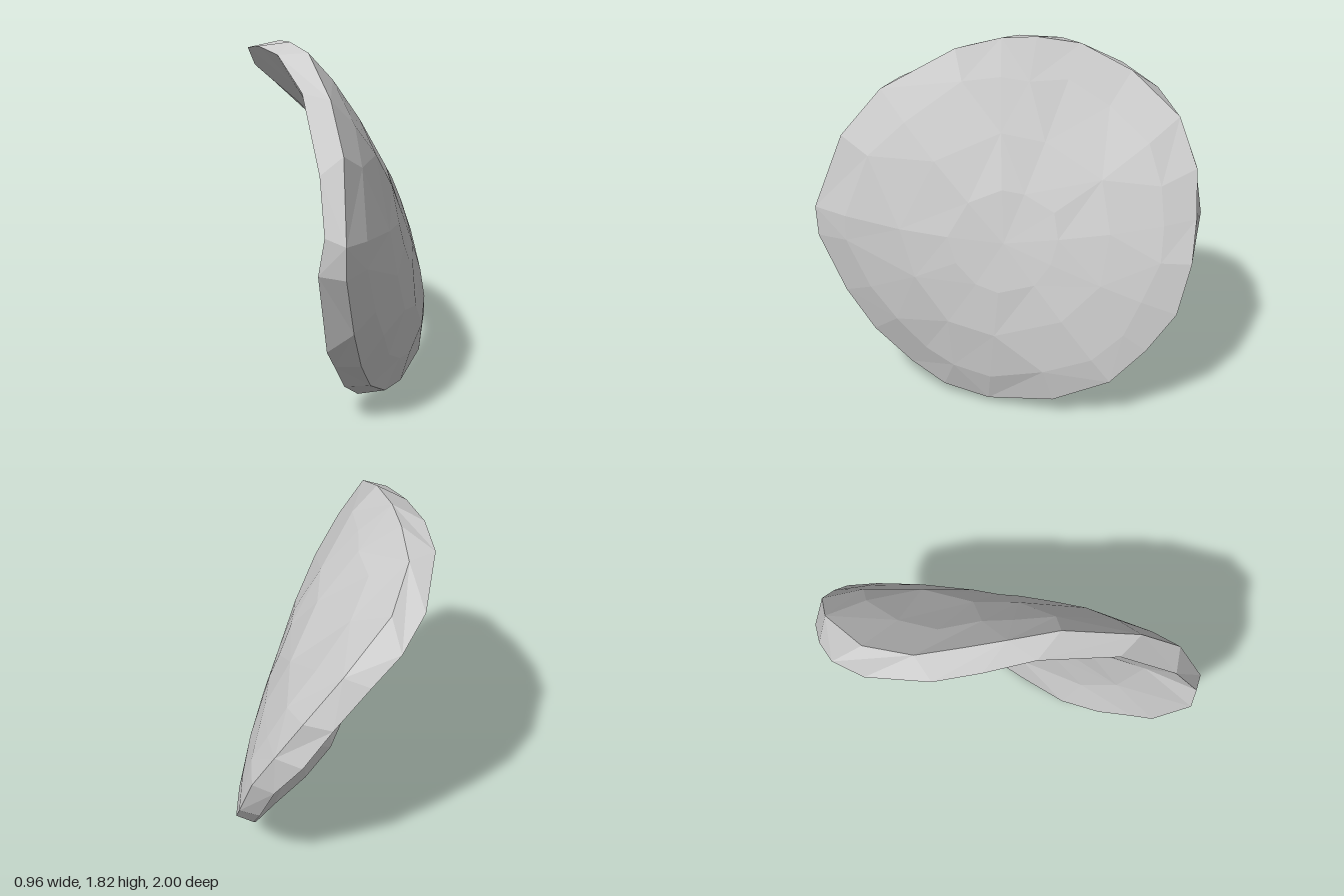
import * as THREE from 'three';

// Rim stations running front, top, back, bottom: outer edge xyz, then inner edge xyz
const RIM = [
  [0.10, 0.99, 1.00, 0.00, 1.03, 0.99],
  [0.08, 1.38, 0.85, -0.03, 1.29, 0.86],
  [0.01, 1.61, 0.65, -0.13, 1.63, 0.57],
  [-0.12, 1.79, 0.28, -0.28, 1.77, 0.20],
  [-0.23, 1.82, 0.05, -0.40, 1.79, -0.03],
  [-0.30, 1.81, -0.13, -0.48, 1.76, -0.25],
  [-0.37, 1.76, -0.36, -0.48, 1.63, -0.58],
  [-0.33, 1.63, -0.63, -0.40, 1.52, -0.77],
  [-0.15, 1.44, -0.88, -0.28, 1.40, -0.88],
  [0.02, 1.22, -0.97, -0.12, 1.20, -0.97],
  [0.16, 1.00, -0.97, 0.02, 0.98, -1.00],
  [0.28, 0.80, -0.95, 0.17, 0.77, -0.96],
  [0.37, 0.56, -0.88, 0.27, 0.53, -0.87],
  [0.43, 0.38, -0.73, 0.34, 0.35, -0.73],
  [0.48, 0.22, -0.55, 0.37, 0.20, -0.57],
  [0.45, 0.09, -0.26, 0.34, 0.06, -0.27],
  [0.35, 0.03, 0.08, 0.23, 0.00, 0.05],
  [0.27, 0.06, 0.32, 0.13, 0.03, 0.30],
  [0.20, 0.15, 0.50, 0.07, 0.15, 0.52],
  [0.16, 0.32, 0.70, 0.03, 0.32, 0.71],
  [0.13, 0.53, 0.85, 0.00, 0.43, 0.82],
  [0.10, 0.83, 0.99, -0.03, 0.85, 0.99],
];
const TILT = -0.27;
const CENTRE_Y = 0.92;

// Repeatable unevenness for the faceted surfaces
const wobble = (i, k) => Math.sin(i * 12.9 + k * 7.3) * Math.cos(i * 4.1 - k * 3.7);

// Shrinks an edge loop towards the middle while raising it into a dome;
// the wobble slides points within the surface so the dome stays even
function ring(edge, r, cx, bulge, step) {
  return edge.filter((_, i) => i % step === 0).map(([x, y, z], i) => {
    const s = r * (1 + 0.035 * wobble(i, r * 9));
    const lean = TILT * (y - CENTRE_Y);
    return [
      cx + lean * s + (x - cx - lean) * s * s + bulge * (1 - s ** 2.4),
      CENTRE_Y + (y - CENTRE_Y) * s,
      z * s,
    ];
  });
}

// Joins two loops, the second having the same number of points or half as many
function stitch(tris, a, b) {
  const n = b.length;
  const half = a.length === 2 * n;
  for (let j = 0; j < n; j++) {
    const k = (j + 1) % n;
    if (half) {
      const p = a[2 * j], q = a[2 * j + 1], s = a[(2 * j + 2) % a.length];
      tris.push([p, b[j], q], [q, b[k], s], [q, b[j], b[k]]);
    } else if (j % 2) {
      tris.push([a[j], b[j], a[k]], [a[k], b[j], b[k]]);
    } else {
      tris.push([a[j], b[j], b[k]], [a[j], b[k], a[k]]);
    }
  }
}

// Dished cap facing +x: successively smaller rings closed by a fan
function cap(edge, cx, bulge, radii, steps) {
  const tris = [];
  let last = edge;
  radii.forEach((r, i) => {
    const next = ring(edge, r, cx, bulge, steps[i]);
    stitch(tris, last, next);
    last = next;
  });
  const mid = [cx + bulge, CENTRE_Y, 0];
  last.forEach((p, i) => tris.push([p, mid, last[(i + 1) % last.length]]));
  return tris;
}

const reversed = (tris) => tris.map(([a, b, c]) => [a, c, b]);

function facetedMesh(tris, material, name) {
  const geometry = new THREE.BufferGeometry();
  geometry.setAttribute('position', new THREE.Float32BufferAttribute(tris.flat(2), 3));
  geometry.computeVertexNormals();
  const mesh = new THREE.Mesh(geometry, material);
  mesh.name = name;
  return mesh;
}

export function createModel() {
  const group = new THREE.Group();
  group.name = 'curvedShell';
  const grey = new THREE.MeshStandardMaterial({ color: 0xcccccc });
  grey.name = 'pale grey';

  const outer = RIM.map((p) => p.slice(0, 3));
  const inner = RIM.map((p) => p.slice(3));

  // Domed outside, facing +x
  const dome = cap(outer, 0.09, 0.26, [0.82, 0.55, 0.28], [1, 2, 2]);
  group.add(facetedMesh(dome, grey, 'outerDome'));
  // Hollow inside, facing -x, in broader facets
  const hollow = cap(inner, -0.03, 0.17, [0.74, 0.4], [2, 2]);
  group.add(facetedMesh(reversed(hollow), grey, 'innerHollow'));
  // Narrow edge band between them
  const band = [];
  stitch(band, outer, inner);
  group.add(facetedMesh(reversed(band), grey, 'rim'));
  return group;
}
